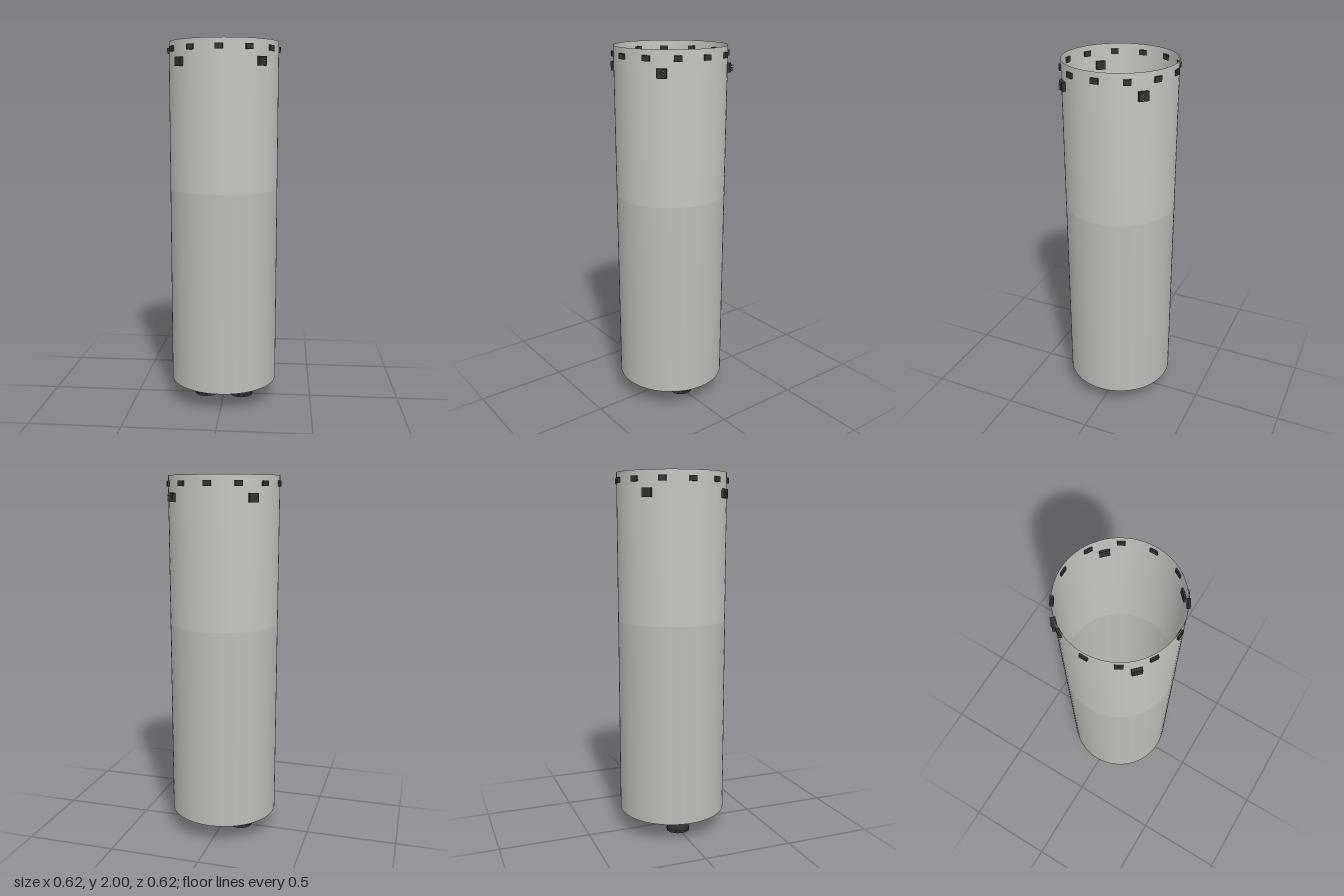
import * as THREE from 'three';

const mat = (name, color, side = THREE.FrontSide) => {
  const m = new THREE.MeshStandardMaterial({ color, side });
  m.name = name;
  return m;
};

export function createModel() {
  const root = new THREE.Group();
  root.name = 'rocketStage';
  const upperGrey = mat('light grey', 0xc5c5c1, THREE.DoubleSide);
  const lowerGrey = mat('mid grey', 0xbcbcb8, THREE.DoubleSide);
  const dark = mat('charcoal', 0x333333, THREE.DoubleSide);
  const copper = mat('copper', 0xc47c52, THREE.DoubleSide);
  const steel = mat('steel', 0x8e8e8e, THREE.DoubleSide);

  const add = (parent, name, geometry, material, x = 0, y = 0, z = 0) => {
    const mesh = new THREE.Mesh(geometry, material);
    mesh.name = name;
    mesh.position.set(x, y, z);
    parent.add(mesh);
    return mesh;
  };
  const lathe = (points) =>
    new THREE.LatheGeometry(points.map(([r, y]) => new THREE.Vector2(r, y)), 32);

  // Open shell in two sections, meeting at a seam
  const R = 0.298, bottom = 0.113, seam = 1.205, top = 2;
  const shell = (y0, y1) => new THREE.CylinderGeometry(R, R, y1 - y0, 72, 1, true);
  add(root, 'lowerShell', shell(bottom, seam), lowerGrey, 0, (bottom + seam) / 2);
  add(root, 'upperShell', shell(seam, top), upperGrey, 0, (seam + top) / 2);

  // Bulkhead carrying the engines
  add(root, 'bulkhead', new THREE.CylinderGeometry(0.292, 0.292, 0.006, 72), dark, 0, 0.205);

  // Two engines: collar, copper chamber, separate dark nozzle skirt
  const collar = lathe([[0.018, 0.203], [0.026, 0.2], [0.026, 0.188], [0.02, 0.182]]);
  const chamber = lathe([[0.055, 0.07], [0.051, 0.09], [0.046, 0.112], [0.037, 0.145],
    [0.028, 0.172], [0.022, 0.186]]);
  const skirt = lathe([[0.065, 0], [0.065, 0.01], [0.062, 0.013], [0.059, 0.04], [0.057, 0.054]]);
  const rim = new THREE.TorusGeometry(0.063, 0.002, 6, 32).rotateX(Math.PI / 2);
  const pipe = new THREE.CylinderGeometry(0.012, 0.012, 0.03, 20);
  for (const x of [-0.102, 0.102]) {
    const engine = new THREE.Group();
    engine.name = 'engine';
    engine.position.x = x;
    add(engine, 'collar', collar, steel);
    add(engine, 'chamber', chamber, copper);
    add(engine, 'nozzleSkirt', skirt, dark);
    add(engine, 'nozzleRim', rim, dark, 0, 0.012);
    add(engine, 'feedPipe', pipe, dark, 0.034, 0.196);
    root.add(engine);
  }

  // Ring of twelve latches near the top rim
  const latch = new THREE.BoxGeometry(0.04, 0.028, 0.017);
  for (let i = 0; i < 12; i++) {
    const a = (i * Math.PI) / 6;
    add(root, 'latch', latch, dark, Math.sin(a) * 0.299, 1.957, Math.cos(a) * 0.299).rotation.y = a;
  }

  // Four thruster blocks, each with a stack of small jets pointing to +x
  const block = new THREE.BoxGeometry(0.05, 0.047, 0.026);
  const jet = new THREE.CylinderGeometry(0.005, 0.003, 0.016, 12, 1, true).rotateZ(-Math.PI / 2);
  for (const sx of [-1, 1]) for (const sz of [-1, 1]) {
    const thruster = new THREE.Group();
    thruster.name = 'thruster';
    thruster.position.set(sx * 0.213, 1.887, sz * 0.213);
    add(thruster, 'thrusterBlock', block, dark).rotation.y = Math.atan2(sx, sz);
    for (let i = 0; i < 3; i++) {
      const jx = sx > 0 ? 0.016 : -0.003;
      add(thruster, 'jet', jet, steel, jx, (i - 1) * 0.013, sz * 0.009);
    }
    root.add(thruster);
  }
  return root;
}
